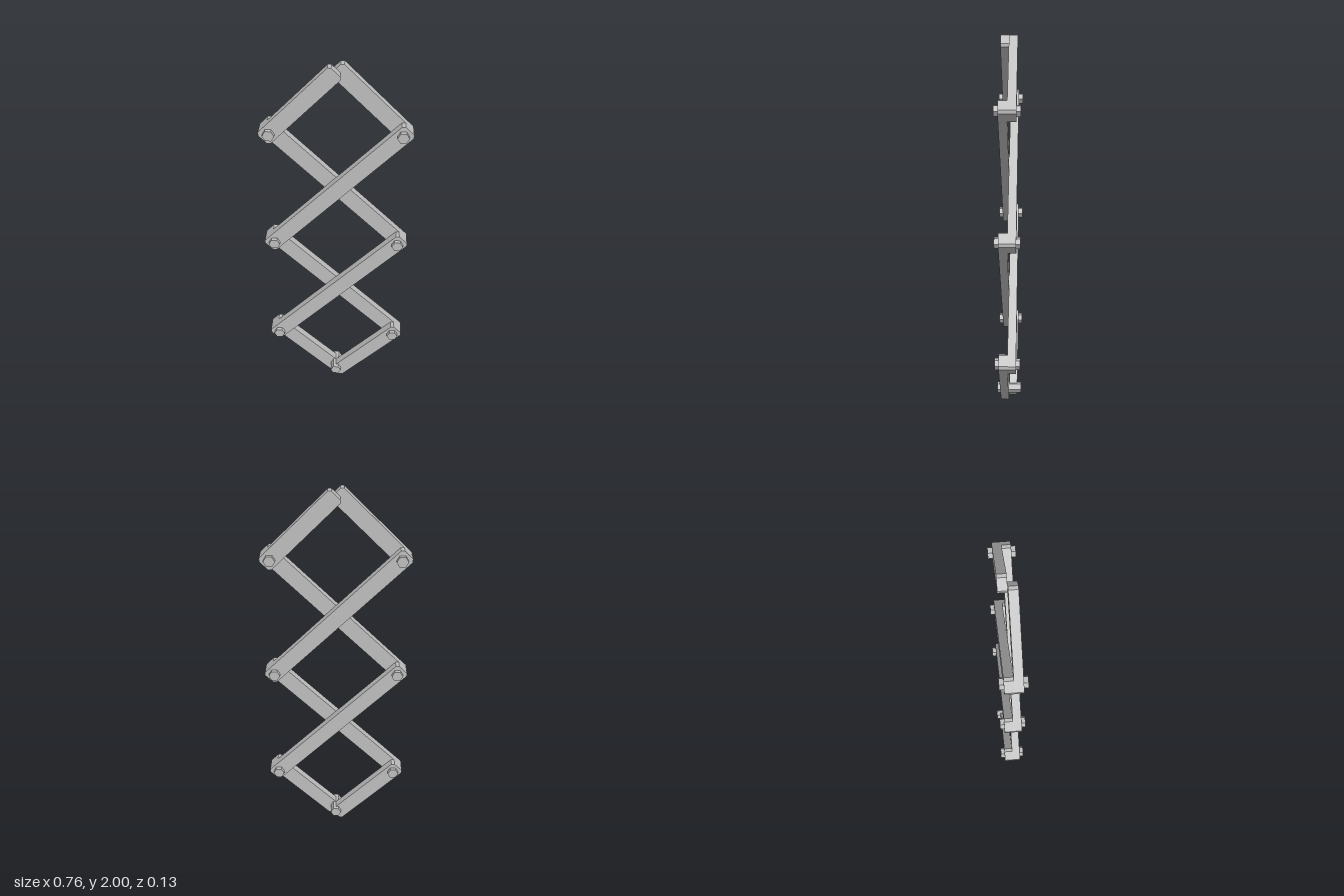
import * as THREE from 'three';

const HALF = 0.0425;    // half width of a bar
const CUT = 0.0127;     // corner chamfer
const DEPTH = 0.0448;   // bar thickness
const PX = 0.327;       // side pivot offset
const PY = [0.347, 1.0, 1.653]; // side pivot heights

const steel = new THREE.MeshStandardMaterial({ color: 0xbfbfbf });
steel.name = 'steelGrey';

// Flat bar with chamfered corners, running between two pivots
function bar(name, x0, y0, x1, y1, z) {
  const l = Math.hypot(x1 - x0, y1 - y0) / 2 + HALF;
  const h = HALF;
  const shape = new THREE.Shape([
    [-l + CUT, -h], [l - CUT, -h], [l, -h + CUT], [l, h - CUT],
    [l - CUT, h], [-l + CUT, h], [-l, h - CUT], [-l, -h + CUT],
  ].map(([x, y]) => new THREE.Vector2(x, y)));
  const geo = new THREE.ExtrudeGeometry(shape, { depth: DEPTH, bevelEnabled: false });
  const mesh = new THREE.Mesh(geo, steel);
  mesh.name = name;
  mesh.position.set((x0 + x1) / 2, (y0 + y1) / 2, z);
  mesh.rotation.z = Math.atan2(y1 - y0, x1 - x0);
  return mesh;
}

// Hexagonal pin through both layers, corners pointing sideways
function bolt(name, x, y) {
  const geo = new THREE.CylinderGeometry(0.03, 0.03, 0.133, 6).toNonIndexed();
  geo.rotateY(Math.PI / 6);
  geo.rotateX(Math.PI / 2);
  geo.computeVertexNormals();
  const mesh = new THREE.Mesh(geo, steel);
  mesh.name = name;
  mesh.position.set(x, y, 0);
  return mesh;
}

export function createModel() {
  const group = new THREE.Group();
  group.name = 'scissorLinkage';

  // Front layer leans right (s = 1), back layer leans left (s = -1)
  for (const s of [1, -1]) {
    const layer = new THREE.Group();
    layer.name = s > 0 ? 'frontBars' : 'backBars';
    const z = s > 0 ? 0 : -DEPTH;
    layer.add(bar('lowerShortBar', s * 0.03, 0.05, s * PX, PY[0], z));
    layer.add(bar('lowerLongBar', -s * PX, PY[0], s * PX, PY[1], z));
    layer.add(bar('upperLongBar', -s * PX, PY[1], s * PX, PY[2], z));
    layer.add(bar('upperShortBar', -s * PX, PY[2], -s * 0.03, 1.95, z));
    group.add(layer);
    // Side pivots
    for (const y of PY) group.add(bolt('sideBolt', s * PX, y));
  }

  // Pivot joining the two bottom bars
  group.add(bolt('bottomBolt', 0, 0.055));
  return group;
}
